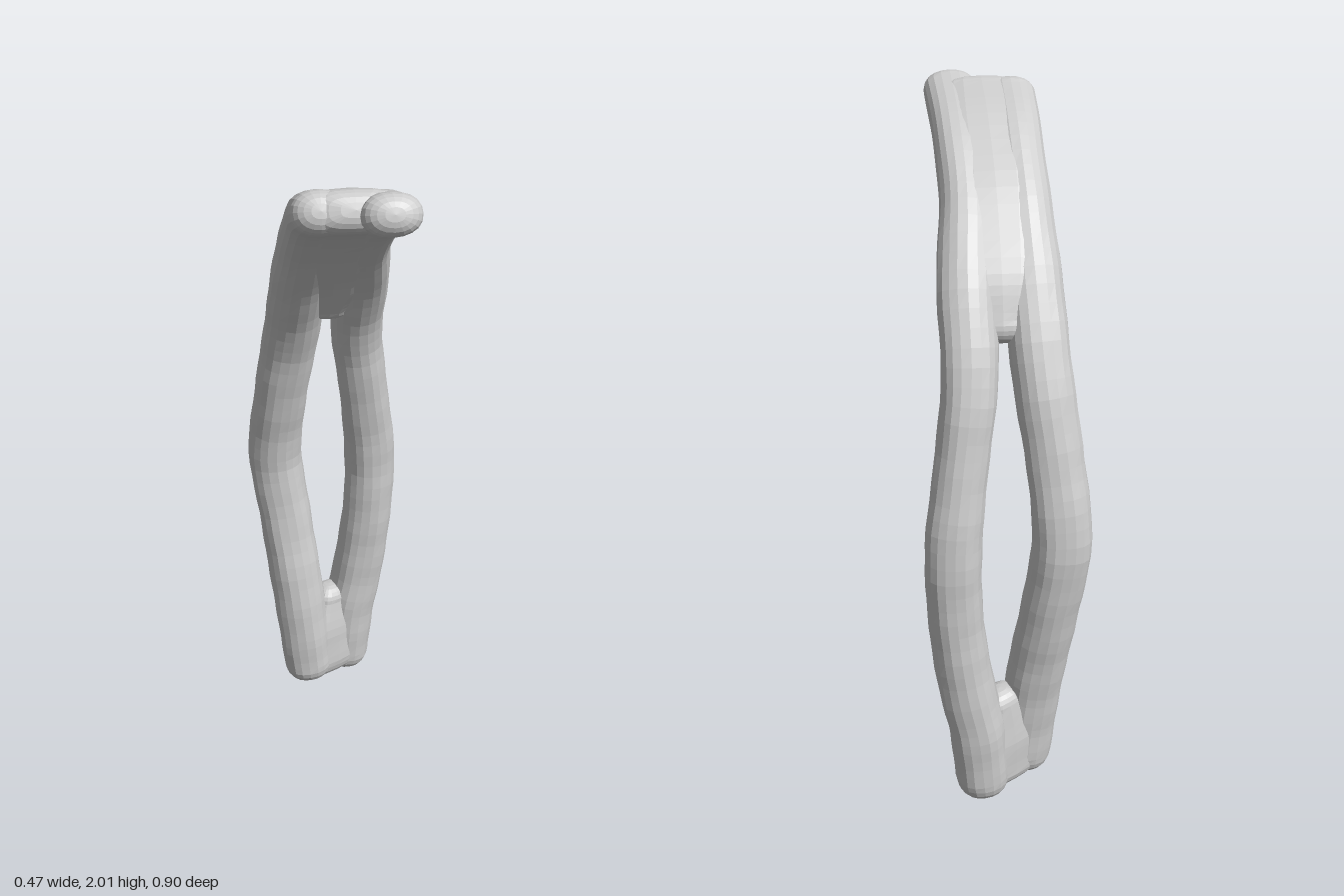
import * as THREE from 'three';

// Lofts a rounded limb through stations [x, y, z, half width, half thickness].
// side is the direction of the width; power above 2 makes the section boxier.
function limbGeometry({ stations, side = [1, 0, 0], power = 2.2, rings = 52 }, seed, sides = 20) {
  const curve = new THREE.CatmullRomCurve3(stations.map((s) => new THREE.Vector3(s[0], s[1], s[2])));
  const radii = new THREE.CatmullRomCurve3(stations.map((s) => new THREE.Vector3(s[3], s[4], 0)));
  const across = new THREE.Vector3(...side).normalize();
  const bend = (c) => Math.sign(c) * Math.abs(c) ** (2 / power);
  const caps = 6;
  const positions = [];
  const index = [];
  const section = (t, push, shrink, wobble) => {
    const centre = curve.getPoint(t);
    const tangent = curve.getTangent(t);
    const r = radii.getPoint(t);
    const u = across.clone().addScaledVector(tangent, -tangent.dot(across)).normalize();
    const v = new THREE.Vector3().crossVectors(tangent, u);
    const y = centre.y;
    centre.addScaledVector(tangent, push * r.y);
    for (let j = 0; j < sides; j++) {
      const a = (j / sides) * Math.PI * 2;
      // gentle hand-modelled unevenness
      const k = shrink * (1 + wobble * Math.sin(y * 27 + a * 2 + seed) * Math.sin(y * 16 - a * 3 + seed * 2));
      const p = centre.clone()
        .addScaledVector(u, bend(Math.cos(a)) * r.x * k)
        .addScaledVector(v, bend(Math.sin(a)) * r.y * k);
      positions.push(p.x, p.y, p.z);
    }
  };
  // rounded ends
  const cap = (t, i, direction) => {
    const s = Math.sin((i / caps) * Math.PI / 2);
    section(t, direction * s, Math.max(0.001, (1 - s ** 2.3) ** (1 / 2.3)), 0);
  };
  for (let i = caps; i > 0; i--) cap(0, i, -1);
  for (let i = 0; i <= rings; i++) section(i / rings, 0, 1, 0.025);
  for (let i = 1; i <= caps; i++) cap(1, i, 1);

  const count = positions.length / 3 / sides;
  for (let i = 0; i < count - 1; i++) {
    for (let j = 0; j < sides; j++) {
      const a = i * sides + j;
      const b = i * sides + (j + 1) % sides;
      index.push(a, b, b + sides, a, b + sides, a + sides);
    }
  }
  const geometry = new THREE.BufferGeometry();
  geometry.setAttribute('position', new THREE.Float32BufferAttribute(positions, 3));
  geometry.setIndex(index);
  geometry.computeVertexNormals();
  return geometry;
}

export function createModel() {
  const group = new THREE.Group();
  group.name = 'splitCurvedLoop';
  const grey = new THREE.MeshStandardMaterial({ color: 0xcccccc, flatShading: true });
  grey.name = 'light grey';

  const parts = {
    // strand on the +x side, foot to tip
    leftStrand: {
      stations: [
        [0.078, 0.075, -0.365, 0.08, 0.08],
        [0.093, 0.25, -0.367, 0.083, 0.084],
        [0.125, 0.42, -0.367, 0.082, 0.08],
        [0.15, 0.65, -0.362, 0.079, 0.08],
        [0.154, 0.88, -0.357, 0.08, 0.08],
        [0.128, 1.1, -0.322, 0.075, 0.075],
        [0.097, 1.34, -0.27, 0.077, 0.072],
        [0.094, 1.56, -0.15, 0.08, 0.074],
        [0.078, 1.74, 0.02, 0.072, 0.072],
        [0.082, 1.88, 0.22, 0.074, 0.063],
        [0.088, 1.946, 0.395, 0.076, 0.054],
      ],
    },
    // strand on the -x side, a little forward at the foot
    rightStrand: {
      stations: [
        [-0.06, 0.095, -0.28, 0.08, 0.078],
        [-0.075, 0.25, -0.285, 0.083, 0.08],
        [-0.093, 0.42, -0.302, 0.084, 0.08],
        [-0.122, 0.65, -0.338, 0.083, 0.077],
        [-0.15, 0.88, -0.353, 0.084, 0.078],
        [-0.132, 1.1, -0.312, 0.081, 0.075],
        [-0.102, 1.34, -0.248, 0.083, 0.072],
        [-0.087, 1.56, -0.132, 0.082, 0.074],
        [-0.08, 1.74, 0.022, 0.074, 0.072],
        [-0.078, 1.88, 0.21, 0.072, 0.063],
        [-0.078, 1.936, 0.335, 0.073, 0.056],
      ],
    },
    // flat slab merging the strands up to the tip
    upperBridge: {
      power: 3, rings: 20,
      stations: [
        [0.003, 1.47, -0.19, 0.06, 0.054],
        [0.002, 1.57, -0.133, 0.11, 0.068],
        [0, 1.74, 0.021, 0.125, 0.071],
        [0.002, 1.88, 0.214, 0.125, 0.063],
        [0.004, 1.938, 0.343, 0.115, 0.055],
      ],
    },
    // slanted slab joining the feet
    lowerBridge: {
      power: 3, rings: 8, side: [0.14, 0, -0.085],
      stations: [
        [0.01, 0.085, -0.322, 0.115, 0.072],
        [0.012, 0.19, -0.325, 0.11, 0.07],
        [0.02, 0.31, -0.332, 0.06, 0.052],
      ],
    },
  };

  Object.entries(parts).forEach(([name, part], i) => {
    const mesh = new THREE.Mesh(limbGeometry(part, i * 1.7 + 0.4), grey);
    mesh.name = name;
    group.add(mesh);
  });
  return group;
}
